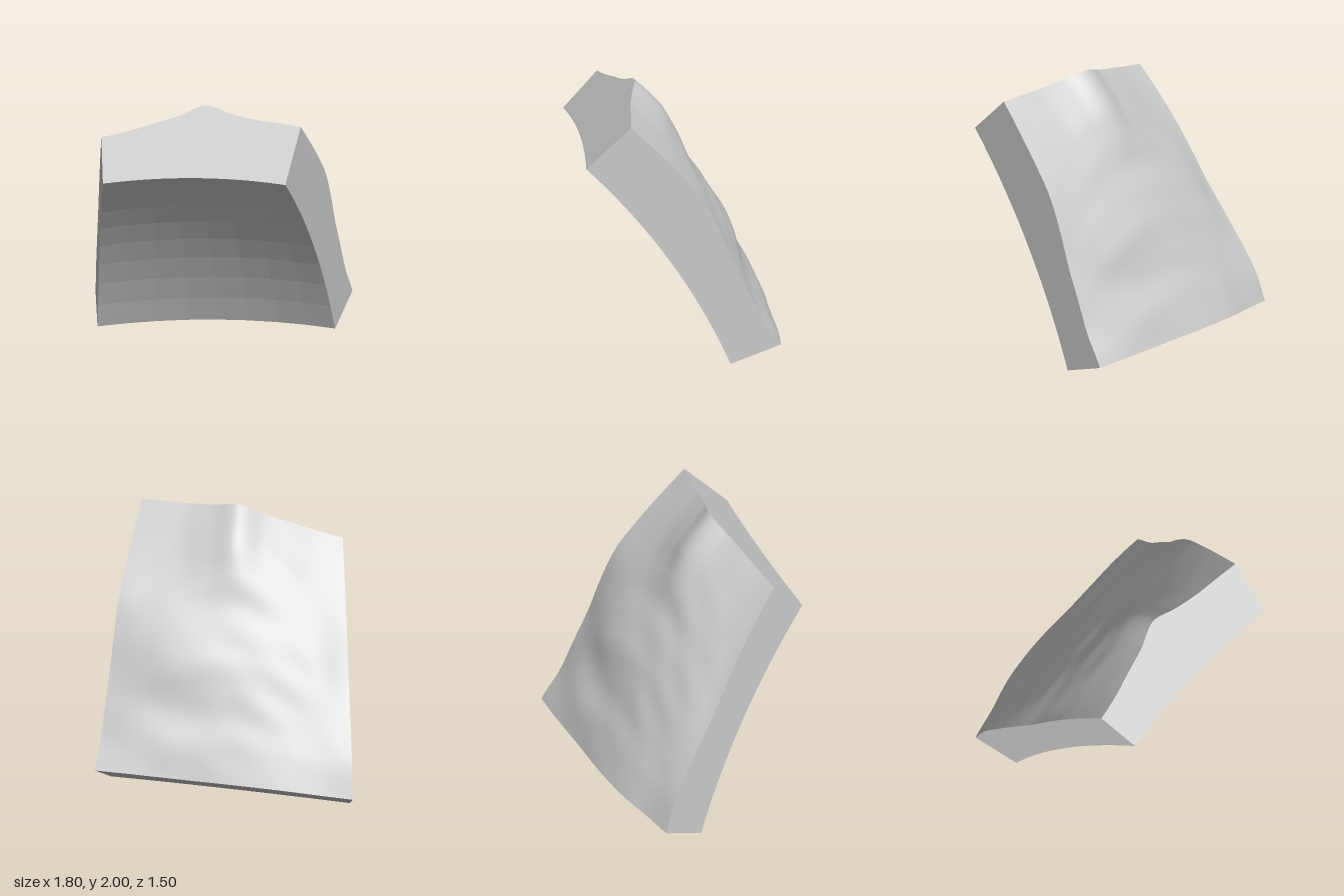
import * as THREE from 'three';

// The shell is one tile of a cube-mapped sphere: 22.5 degrees wide and high
const CENTER = new THREE.Vector3(0.9, -1.671, 3.936);
const INNER = 4.69, OUTER = 5, SPAN = Math.PI / 8;
const N = 64;

// Terrain height in thousandths, rows from top to bottom, columns from +x to -x
const HEIGHTS = [
  [135, 142, 153, 188, 243, 163, 112, 68, 46],
  [141, 143, 155, 195, 240, 165, 110, 60, 35],
  [150, 145, 150, 172, 190, 148, 100, 55, 22],
  [153, 143, 138, 130, 125, 112, 85, 50, 5],
  [112, 120, 128, 128, 118, 100, 75, 45, -8],
  [62, 85, 108, 107, 92, 80, 60, 40, 5],
  [43, 45, 42, 48, 58, 62, 50, 35, 25],
  [34, 50, 62, 60, 60, 62, 58, 40, 46],
  [72, 63, 48, 43, 55, 63, 60, 36, 34],
];

// Smooth interpolation through evenly spaced values
function spline(values, t) {
  const last = values.length - 1;
  const k = Math.min(Math.floor(t * last), last - 1), f = t * last - k;
  const at = (i) => values[Math.max(0, Math.min(last, i))];
  const [a, b, c, d] = [at(k - 1), at(k), at(k + 1), at(k + 2)];
  return b + 0.5 * f * (c - a + f * (2 * a - 5 * b + 4 * c - d + f * (3 * (b - c) + d - a)));
}

// Outer radius, with faint wrinkles that fade out at the edges
function outerRadius(s, t) {
  const fade = Math.sin(Math.PI * s) * Math.sin(Math.PI * t);
  const wrinkle = Math.sin(38 * t + 5 * Math.sin(4 * s)) * Math.sin(9 * s + 7 * t);
  return OUTER + spline(HEIGHTS.map((row) => spline(row, s)), t) / 1000 + 0.005 * fade * wrinkle;
}

// s runs from +x to -x, t from the top edge to the bottom edge
function point(s, t, radius) {
  const dir = new THREE.Vector3(-Math.tan(SPAN * s), Math.tan(SPAN * (2 - t)), -1);
  return dir.setLength(radius).add(CENTER);
}

// Grid surface whose front lies along (u direction) x (v direction)
function surface(fn, nu, nv, flat = false) {
  const positions = [], index = [];
  for (let i = 0; i <= nu; i++) {
    for (let j = 0; j <= nv; j++) positions.push(...fn(i / nu, j / nv).toArray());
  }
  for (let i = 0; i < nu; i++) {
    for (let j = 0; j < nv; j++) {
      const a = i * (nv + 1) + j, b = a + nv + 1;
      index.push(a, b, b + 1, a, b + 1, a + 1);
    }
  }
  let geometry = new THREE.BufferGeometry();
  geometry.setAttribute('position', new THREE.Float32BufferAttribute(positions, 3));
  geometry.setIndex(index);
  if (flat) geometry = geometry.toNonIndexed();
  geometry.computeVertexNormals();
  return geometry;
}

// Point on a cut wall; h = 0 just inside the inner shell, 1 on the terrain
const wall = (s, t, h) => point(s, t, THREE.MathUtils.lerp(INNER - 0.0014, outerRadius(s, t), h));

export function createModel() {
  const group = new THREE.Group();
  group.name = 'terrainShell';
  const stone = new THREE.MeshStandardMaterial({ color: 0xcccccc });
  stone.name = 'paleGrey';

  const add = (name, geometry) => {
    const mesh = new THREE.Mesh(geometry, stone);
    mesh.name = name;
    group.add(mesh);
  };

  // Rugged outside and faceted hollow inside
  add('terrainSurface', surface((u, v) => point(v, u, outerRadius(v, u)), N, N));
  add('innerSurface', surface((u, v) => point(u, v, INNER), 8, 8, true));

  // Four flat cut walls
  add('topWall', surface((u, v) => wall(v, 0, u), 1, N, true));
  add('bottomWall', surface((u, v) => wall(u, 1, v), N, 1, true));
  add('leftWall', surface((u, v) => wall(0, u, v), N, 1, true));
  add('rightWall', surface((u, v) => wall(1, v, u), 1, N, true));

  return group;
}
